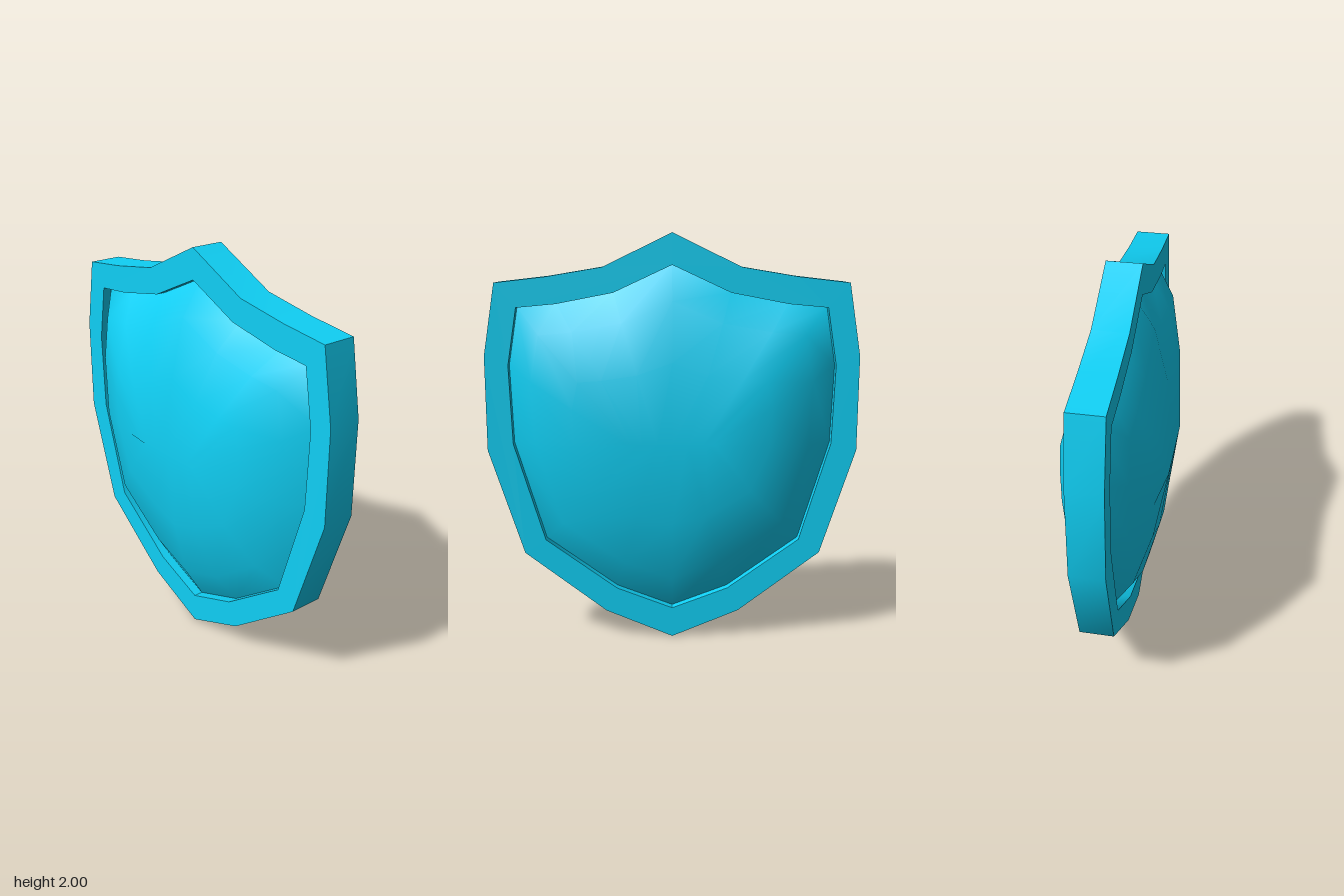
import * as THREE from 'three';
import { toCreasedNormals } from 'three/addons/utils/BufferGeometryUtils.js';

// Right halves, from the top peak down to the bottom tip
const OUTER = [[0, 2], [0.33, 1.84], [0.6, 1.795], [0.843, 1.767], [0.9, 1.42], [0.898, 0.96], [0.73, 0.44], [0.33, 0.137], [0, 0]];
const INNER = [[0, 1.85], [0.28, 1.72], [0.555, 1.667], [0.742, 1.65], [0.787, 1.374], [0.773, 0.992], [0.626, 0.507], [0.276, 0.255], [0, 0.15]];

// Closed counter-clockwise outline from a mirrored half
function outline(half) {
  const left = half.map(([x, y]) => new THREE.Vector2(-x, y));
  const right = half.slice(1, -1).reverse().map(([x, y]) => new THREE.Vector2(x, y));
  return [...left, ...right];
}

// Domed panel: rings of the outline shrinking to a short ridge at mid height
function panelGeometry() {
  const rim = outline(INNER);
  const n = rim.length;
  const rings = [[1, 0.035], [0.8, 0.14], [0.46, 0.208], [0, 0.25]]; // [spread, z]
  const positions = [];
  const index = [];
  for (const [u, z] of rings) {
    for (const p of rim) {
      positions.push(THREE.MathUtils.lerp(p.x * 0.26, p.x, u), THREE.MathUtils.lerp(1.02, p.y, u), z);
    }
  }
  for (let r = 0; r < rings.length - 1; r++) {
    for (let i = 0; i < n; i++) {
      const a = r * n + i;
      const b = r * n + (i + 1) % n;
      index.push(a, b, b + n, a, b + n, a + n);
    }
  }
  const geometry = new THREE.BufferGeometry();
  geometry.setAttribute('position', new THREE.Float32BufferAttribute(positions, 3));
  geometry.setIndex(index);
  geometry.computeVertexNormals();
  // The ridge is flat, so its normals face straight out
  const normals = geometry.attributes.normal;
  for (let i = (rings.length - 1) * n; i < normals.count; i++) normals.setXYZ(i, 0, 0, 1);
  return geometry;
}

export function createModel() {
  const group = new THREE.Group();
  group.name = 'shield';
  const material = new THREE.MeshStandardMaterial({ color: 0x10d0f5 });
  const add = (name, geometry) => {
    const mesh = new THREE.Mesh(geometry, material);
    mesh.name = name;
    group.add(mesh);
    return mesh;
  };

  // Frame
  const shape = new THREE.Shape(outline(OUTER));
  shape.holes.push(new THREE.Path(outline(INNER)));
  const frame = new THREE.ExtrudeGeometry(shape, { depth: 0.165, bevelEnabled: false });
  frame.translate(0, 0, -0.0825);
  add('frame', toCreasedNormals(frame, 0.7));

  // Domed panels on both sides
  const panel = panelGeometry();
  add('frontPanel', panel);
  add('backPanel', panel).rotation.y = Math.PI;

  return group;
}
